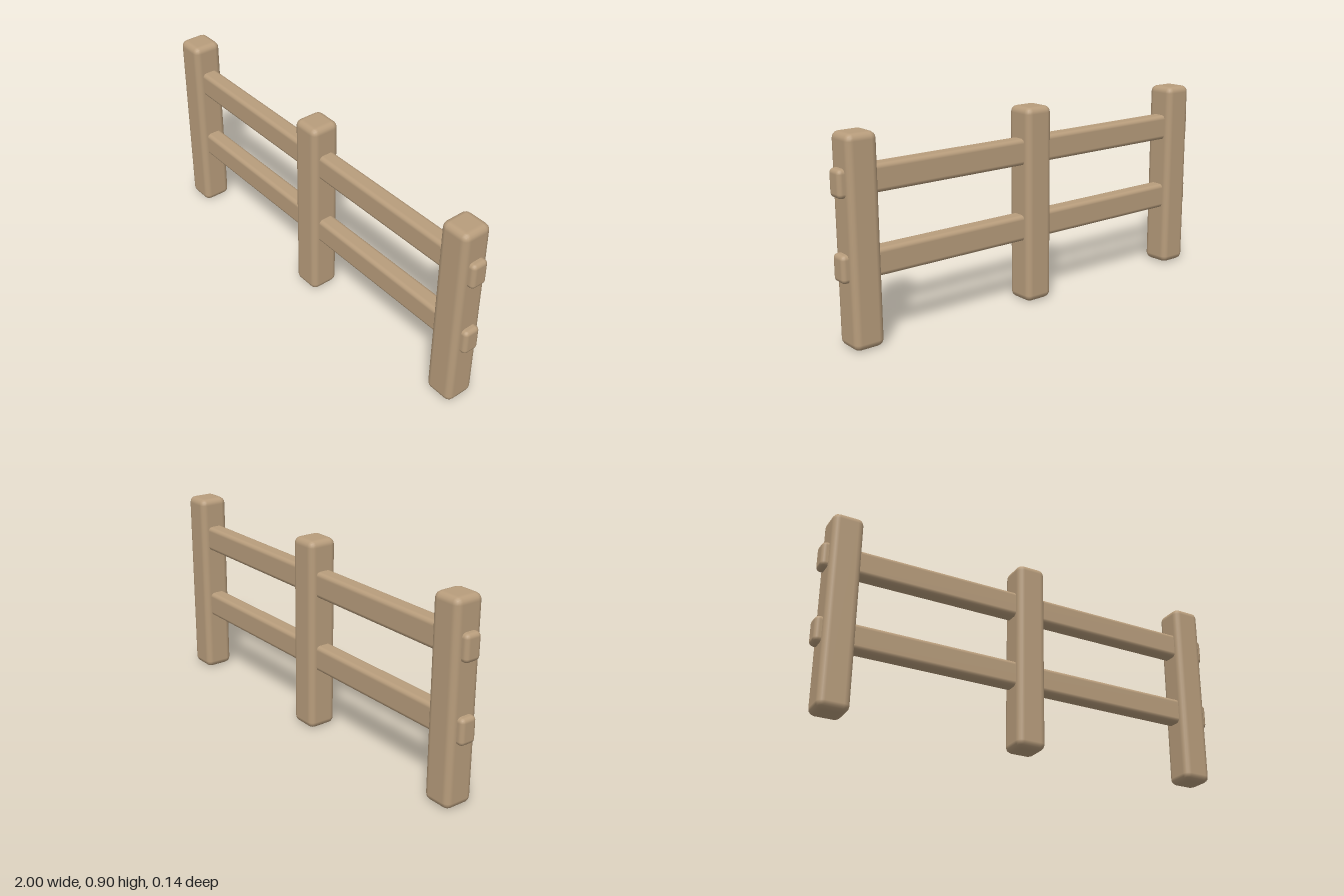
import * as THREE from 'three';
import { RoundedBoxGeometry } from 'three/addons/geometries/RoundedBoxGeometry.js';

export function createModel() {
  const fence = new THREE.Group();
  fence.name = 'fence';

  const wood = new THREE.MeshStandardMaterial({ color: 0xb89d7c });
  wood.name = 'wood';

  const addBeam = (name, geometry, x, y) => {
    const beam = new THREE.Mesh(geometry, wood);
    beam.name = name;
    beam.position.set(x, y, 0);
    fence.add(beam);
  };

  // Three upright posts with softened edges
  const postGeometry = new RoundedBoxGeometry(0.14, 0.9, 0.14, 2, 0.03);
  for (const [name, x] of [['rightPost', -0.9], ['middlePost', 0], ['leftPost', 0.9]]) {
    addBeam(name, postGeometry, x, 0.45);
  }

  // Two rails running through the posts, their ends poking out
  const railGeometry = new RoundedBoxGeometry(2, 0.12, 0.08, 2, 0.02);
  for (const [name, y] of [['lowerRail', 0.35], ['upperRail', 0.7]]) {
    addBeam(name, railGeometry, 0, y);
  }

  return fence;
}
